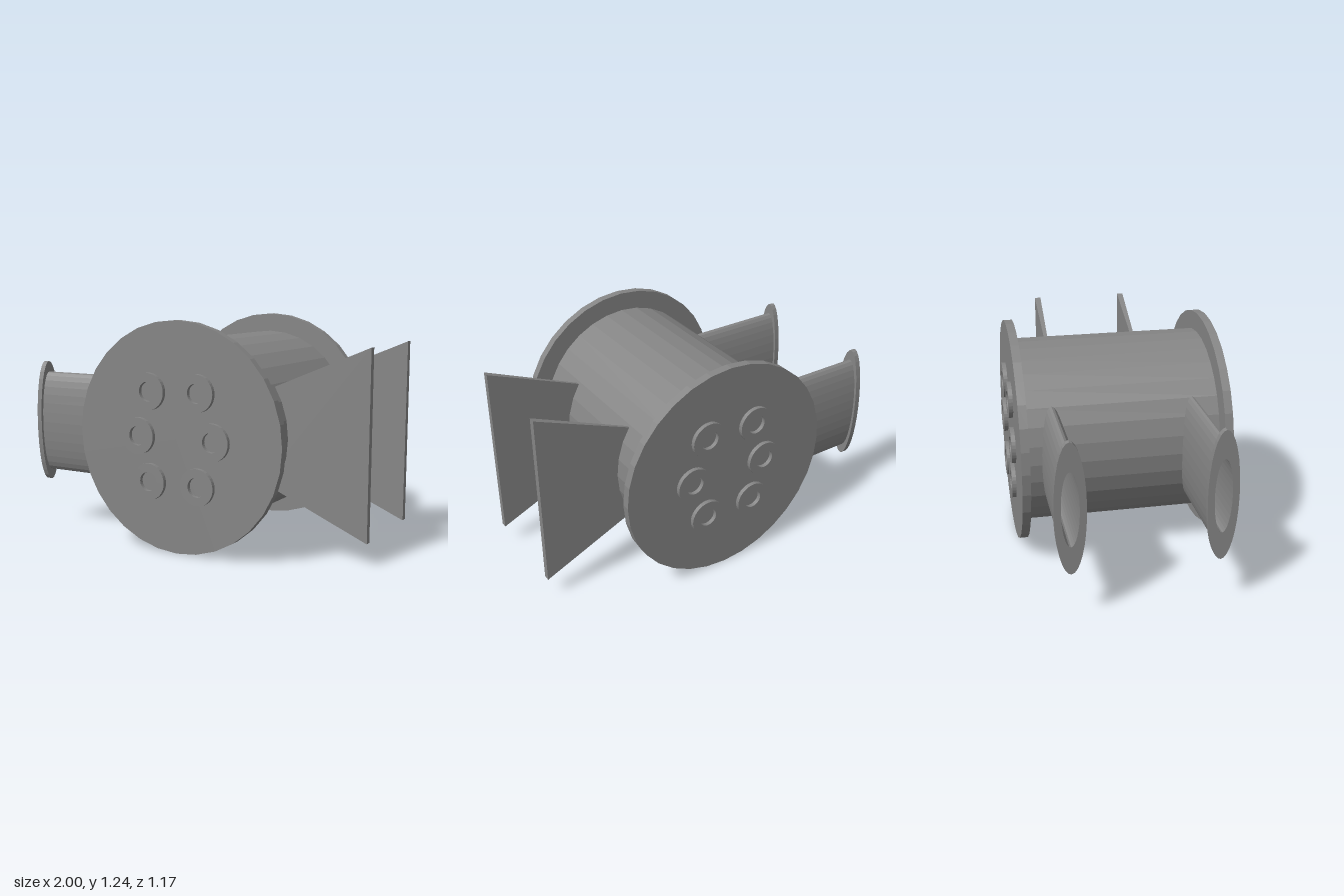
import * as THREE from 'three';

const CX = 0.033, CY = 0.62; // axis of the vessel
const SIDES = 32;

export function createModel() {
  const model = new THREE.Group();
  model.name = 'vessel';
  const material = new THREE.MeshStandardMaterial({ color: 0x858585, flatShading: true });

  const add = (name, geometry, x = 0, y = 0, z = 0) => {
    const mesh = new THREE.Mesh(geometry, material);
    mesh.name = name;
    mesh.position.set(x, y, z);
    model.add(mesh);
    return mesh;
  };

  // Revolved profile of [radius, height] points
  const lathe = (points) =>
    new THREE.LatheGeometry(points.map(([r, h]) => new THREE.Vector2(r, h)), SIDES);

  // Main drum, lying along z
  add('drum', new THREE.CylinderGeometry(0.515, 0.515, 1.04, SIDES).rotateX(Math.PI / 2), CX, CY, 0);

  // End plates with six ring ports each
  const plate = new THREE.CylinderGeometry(0.62, 0.62, 0.045, SIDES).rotateX(Math.PI / 2);
  const ring = lathe([[0.052, -0.0175], [0.099, -0.0175], [0.099, 0.0175], [0.052, 0.0175], [0.052, -0.0175]])
    .rotateX(Math.PI / 2);
  const ports = [[-0.13, 0.863], [0.17, 0.87], [-0.197, 0.622], [0.259, 0.622], [-0.13, 0.379], [0.17, 0.379]];
  for (const side of [1, -1]) {
    const end = side > 0 ? 'front' : 'back';
    add(end + 'Plate', plate, CX, CY, side * 0.54);
    ports.forEach(([x, y], i) => add(`${end}Port${i + 1}`, ring, x, y, side * 0.5675));
  }

  // Flattened flanged pipes on the right side; profile height runs along -x
  const pipe = lathe([
    [0.2, 0.35], [0.291, 0.35], [0.291, 0.97], [0.352, 0.97], [0.352, 1], [0.2, 1], [0.2, 0.35],
  ]).rotateZ(Math.PI / 2).scale(1, 1, 0.228);
  for (const side of [1, -1]) add(side > 0 ? 'frontPipe' : 'backPipe', pipe, 0, CY, side * 0.378);

  // Flared support fins on the left side, tapering towards the drum
  const fin = new THREE.BoxGeometry(0.6, 1, 1).translate(0.7, 0, 0);
  const p = fin.attributes.position;
  for (let i = 0; i < p.count; i++) {
    const outer = p.getX(i) > 0.7;
    p.setY(i, p.getY(i) * (outer ? 0.994 : 0.49));
    p.setZ(i, p.getZ(i) * (outer ? 0.036 : 0.014));
  }
  fin.computeVertexNormals();
  for (const side of [1, -1]) add(side > 0 ? 'frontFin' : 'backFin', fin, 0, CY, side * 0.272);

  return model;
}
